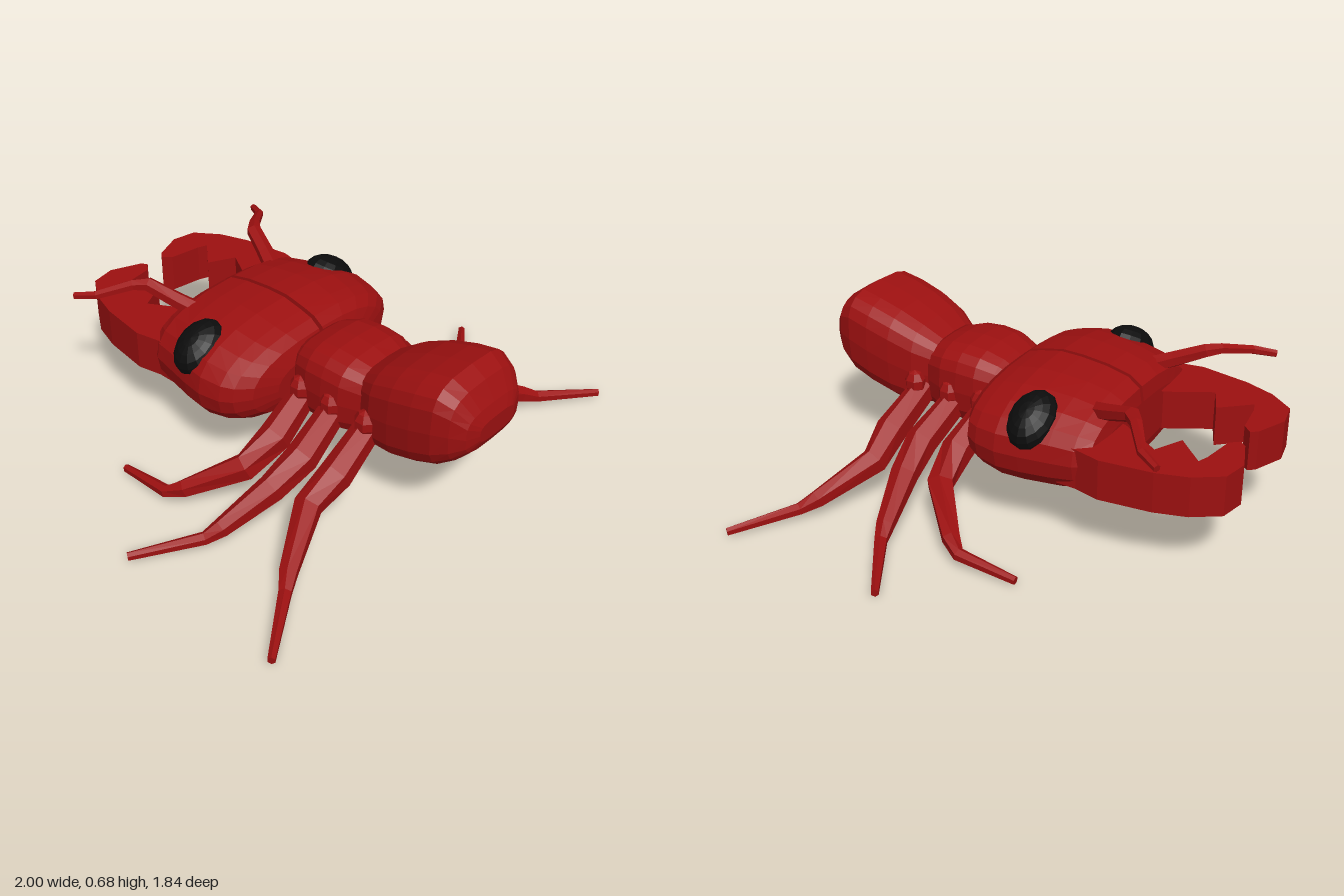
import * as THREE from 'three';

const red = new THREE.MeshStandardMaterial({ color: 0x9c1010, flatShading: true });
const black = new THREE.MeshStandardMaterial({ color: 0x0c0c0c, flatShading: true });

function part(name, geometry, material = red) {
  const mesh = new THREE.Mesh(geometry, material);
  mesh.name = name;
  return mesh;
}

// Closed skin over a row of rings, each a loop of Vector3
function loft(rings) {
  const n = rings[0].length, pos = [], idx = [];
  rings.forEach(r => r.forEach(p => pos.push(p.x, p.y, p.z)));
  for (let i = 0; i < rings.length - 1; i++) {
    for (let j = 0; j < n; j++) {
      const a = i * n + j, b = i * n + (j + 1) % n;
      idx.push(a, b, a + n, b, b + n, a + n);
    }
  }
  [0, rings.length - 1].forEach(i => {
    const c = new THREE.Vector3();
    rings[i].forEach(p => c.addScaledVector(p, 1 / n));
    const ci = pos.length / 3;
    pos.push(c.x, c.y, c.z);
    for (let j = 0; j < n; j++) {
      const a = i * n + j, b = i * n + (j + 1) % n;
      if (i === 0) idx.push(ci, b, a); else idx.push(ci, a, b);
    }
  });
  const g = new THREE.BufferGeometry();
  g.setAttribute('position', new THREE.Float32BufferAttribute(pos, 3));
  g.setIndex(idx);
  g.computeVertexNormals();
  return g;
}

// Rounded-box body from sections [z, bottom, top, halfWidth]; half keeps only the +x side
function body(sections, e, half = false) {
  const n = half ? 12 : 20;
  const pw = v => Math.sign(v) * Math.abs(v) ** (2 / e);
  return loft(sections.map(([z, y0, y1, w]) => {
    const ring = [];
    for (let j = 0; j < (half ? n + 1 : n); j++) {
      const t = half ? (j / n - 0.5) * Math.PI : (j / n) * Math.PI * 2;
      const c = half ? Math.max(Math.cos(t), 0) : Math.cos(t);
      const x = half ? 0.009 + (w - 0.009) * pw(c) : w * pw(c);
      ring.push(new THREE.Vector3(x, (y0 + y1) / 2 + (y1 - y0) / 2 * pw(Math.sin(t)), z));
    }
    return ring;
  }));
}

// Tapered six-sided limb through points [x, y, z, halfWidth, halfHeight]
function limb(points) {
  const p = points.map(q => new THREE.Vector3(q[0], q[1], q[2]));
  const up = new THREE.Vector3(0, 1, 0);
  return loft(points.map((q, i) => {
    const t = p[Math.min(i + 1, p.length - 1)].clone().sub(p[Math.max(i - 1, 0)]).normalize();
    const side = up.clone().cross(t).normalize(), top = t.clone().cross(side);
    return Array.from({ length: 6 }, (_, j) => {
      const a = (j + 0.5) / 6 * Math.PI * 2;
      return p[i].clone().addScaledVector(side, Math.cos(a) * q[3]).addScaledVector(top, Math.sin(a) * q[4]);
    });
  }));
}

function buildSide() {
  const side = new THREE.Group();

  // Half of the head, split along the middle
  side.add(part('headHalf', body([
    [-0.43, 0.27, 0.46, 0.34], [-0.42, 0.23, 0.52, 0.38], [-0.37, 0.19, 0.555, 0.415],
    [-0.28, 0.17, 0.575, 0.435], [-0.17, 0.165, 0.585, 0.46], [-0.08, 0.17, 0.585, 0.475],
    [0.01, 0.19, 0.565, 0.46], [0.06, 0.215, 0.55, 0.435], [0.1, 0.24, 0.52, 0.37], [0.125, 0.28, 0.46, 0.26],
  ], 2.4, true)));

  // Flattened eye lying on the upper side of the head
  const eye = part('eye', new THREE.SphereGeometry(1, 14, 10), black);
  eye.scale.set(0.12, 0.075, 0.092);
  eye.position.set(0.365, 0.485, -0.18);
  eye.rotation.z = -0.6;
  side.add(eye);

  // Toothed mandible
  const outline = [[0.4, -0.3], [0.4, -0.38], [0.42, -0.48], [0.39, -0.68], [0.35, -0.8], [0.28, -0.9],
    [0.18, -0.92], [0.06, -0.87], [0.04, -0.845], [0.07, -0.81], [0.2, -0.79], [0.24, -0.775],
    [0.19, -0.72], [0.14, -0.665], [0.25, -0.61], [0.15, -0.44], [0.15, -0.3]];
  const mandible = new THREE.ExtrudeGeometry(
    new THREE.Shape(outline.map(([x, z]) => new THREE.Vector2(x, -z))), { depth: 0.16, bevelEnabled: false });
  mandible.rotateX(-Math.PI / 2).translate(0, 0.28, 0);
  side.add(part('mandible', mandible));

  // Elbowed antenna
  side.add(part('antenna', limb([
    [0.21, 0.5, -0.34, 0.04, 0.035], [0.25, 0.535, -0.43, 0.035, 0.032], [0.295, 0.58, -0.54, 0.032, 0.028],
    [0.34, 0.58, -0.58, 0.024, 0.022], [0.455, 0.55, -0.665, 0.018, 0.018], [0.5, 0.535, -0.745, 0.014, 0.015],
  ])));

  // Legs: z at hip, thigh, knee, shin, ankle and tip, with the matching x
  const legs = {
    frontLeg: { x: [0.14, 0.34, 0.48, 0.64, 0.68, 0.672], z: [0.16, 0.18, 0.16, 0.0, -0.06, -0.3] },
    middleLeg: { x: [0.14, 0.36, 0.5, 0.7, 0.76, 0.99], z: [0.31, 0.335, 0.315, 0.255, 0.23, 0.075] },
    hindLeg: { x: [0.14, 0.35, 0.48, 0.7, 0.76, 0.99], z: [0.475, 0.49, 0.475, 0.585, 0.625, 0.78] },
  };
  const y = [0.34, 0.235, 0.165, 0.07, 0.045, 0.017];
  const w = [0.05, 0.062, 0.054, 0.036, 0.026, 0.015];
  const h = [0.06, 0.065, 0.055, 0.036, 0.024, 0.017];
  for (const [name, leg] of Object.entries(legs)) {
    side.add(part(name, limb(y.map((yy, i) => [leg.x[i], yy, leg.z[i], w[i], h[i]]))));
    // Small hip knob where the leg meets the thorax
    const hip = part(name + 'Hip', new THREE.SphereGeometry(1, 7, 5));
    hip.scale.set(0.04, 0.055, 0.045);
    hip.position.set(0.19, 0.375, leg.z[0] + 0.01);
    side.add(hip);
  }
  return side;
}

export function createModel() {
  const model = new THREE.Group();
  model.name = 'ant';

  model.add(part('abdomen', body([
    [0.425, 0.26, 0.54, 0.155], [0.5, 0.238, 0.59, 0.195], [0.6, 0.25, 0.635, 0.215],
    [0.7, 0.28, 0.665, 0.222], [0.79, 0.315, 0.682, 0.218], [0.85, 0.36, 0.645, 0.195],
    [0.895, 0.41, 0.575, 0.155], [0.915, 0.45, 0.53, 0.1],
  ], 3.4)));

  model.add(part('thorax', body([
    [0.09, 0.26, 0.5, 0.15], [0.13, 0.24, 0.53, 0.175], [0.2, 0.23, 0.555, 0.2], [0.28, 0.228, 0.562, 0.205],
    [0.36, 0.232, 0.555, 0.2], [0.44, 0.245, 0.53, 0.165],
  ], 3.2)));

  const left = buildSide(), right = buildSide();
  left.name = 'leftSide';
  right.name = 'rightSide';
  // The ant faces -z; the two sides mirror each other
  right.scale.x = -1;
  model.add(left, right);
  return model;
}
